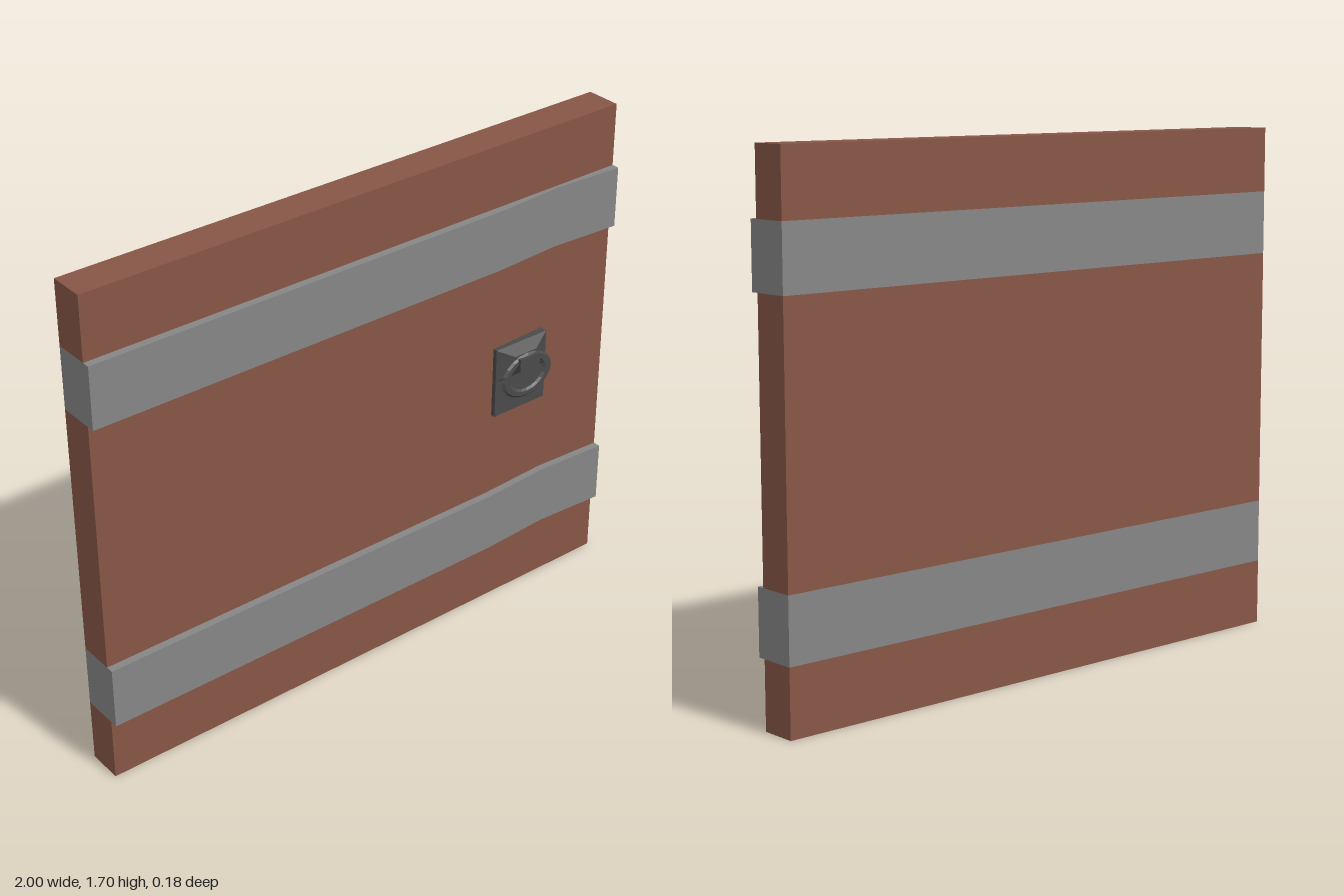
import * as THREE from 'three';

const mat = (name, color) => {
  const m = new THREE.MeshStandardMaterial({ color });
  m.name = name;
  return m;
};

export function createModel() {
  const wood = mat('brown wood', 0x875646);
  const steel = mat('grey steel', 0x868686);
  const iron = mat('dark iron', 0x4a4a4a);
  const door = new THREE.Group();
  door.name = 'door';

  const add = (name, geometry, material, x = 0, y = 0, z = 0, parent = door) => {
    const mesh = new THREE.Mesh(geometry, material);
    mesh.name = name;
    mesh.position.set(x, y, z);
    parent.add(mesh);
    return mesh;
  };

  // A horizontal course of the door: plan outline extruded upward,
  // with an optional shallow crease in its front near the handle side.
  const back = -0.09;
  const course = (name, y0, y1, front, crease, material) => {
    const plan = [[-1, -back], [1, -back], [1, -front]];
    if (crease) plan.push([0.75, crease - front], [0.5, -front]);
    plan.push([-1, -front]);
    const shape = new THREE.Shape(plan.map(([x, y]) => new THREE.Vector2(x, y)).reverse());
    const g = new THREE.ExtrudeGeometry(shape, { depth: y1 - y0, bevelEnabled: false });
    g.rotateX(-Math.PI / 2);
    add(name, g, material, 0, y0, 0);
  };
  course('bottomPanel', 0, 0.217, 0.03, 0, wood);
  course('lowerBand', 0.217, 0.428, 0.056, 0.014, steel);
  course('middlePanel', 0.428, 1.28, 0.03, 0.012, wood);
  course('upperBand', 1.28, 1.488, 0.056, 0.014, steel);
  course('topPanel', 1.488, 1.7, 0.03, 0, wood);

  // Handle: back plate, tapered boss, pin and hanging ring
  const handle = new THREE.Group();
  handle.name = 'handle';
  door.add(handle);
  add('backPlate', new THREE.BoxGeometry(0.215, 0.25, 0.03), iron, 0.622, 0.855, 0.03, handle);

  const boss = new THREE.BoxGeometry(0.215, 0.12, 0.023);
  const p = boss.attributes.position;
  for (let i = 0; i < p.count; i++) {
    if (p.getZ(i) > 0) p.setXY(i, p.getX(i) * 0.42, p.getY(i) * 0.42);
  }
  boss.computeVertexNormals();
  add('boss', boss, iron, 0.622, 0.92, 0.0565, handle);

  add('pin', new THREE.BoxGeometry(0.084, 0.046, 0.03), iron, 0.622, 0.918, 0.075, handle);

  const ringGeometry = new THREE.TorusGeometry(0.088, 0.019, 6, 20).toNonIndexed();
  ringGeometry.scale(1, 0.76, 0.38);
  ringGeometry.computeVertexNormals();
  add('ring', ringGeometry, iron, 0.622, 0.868, 0.075, handle);

  return door;
}
